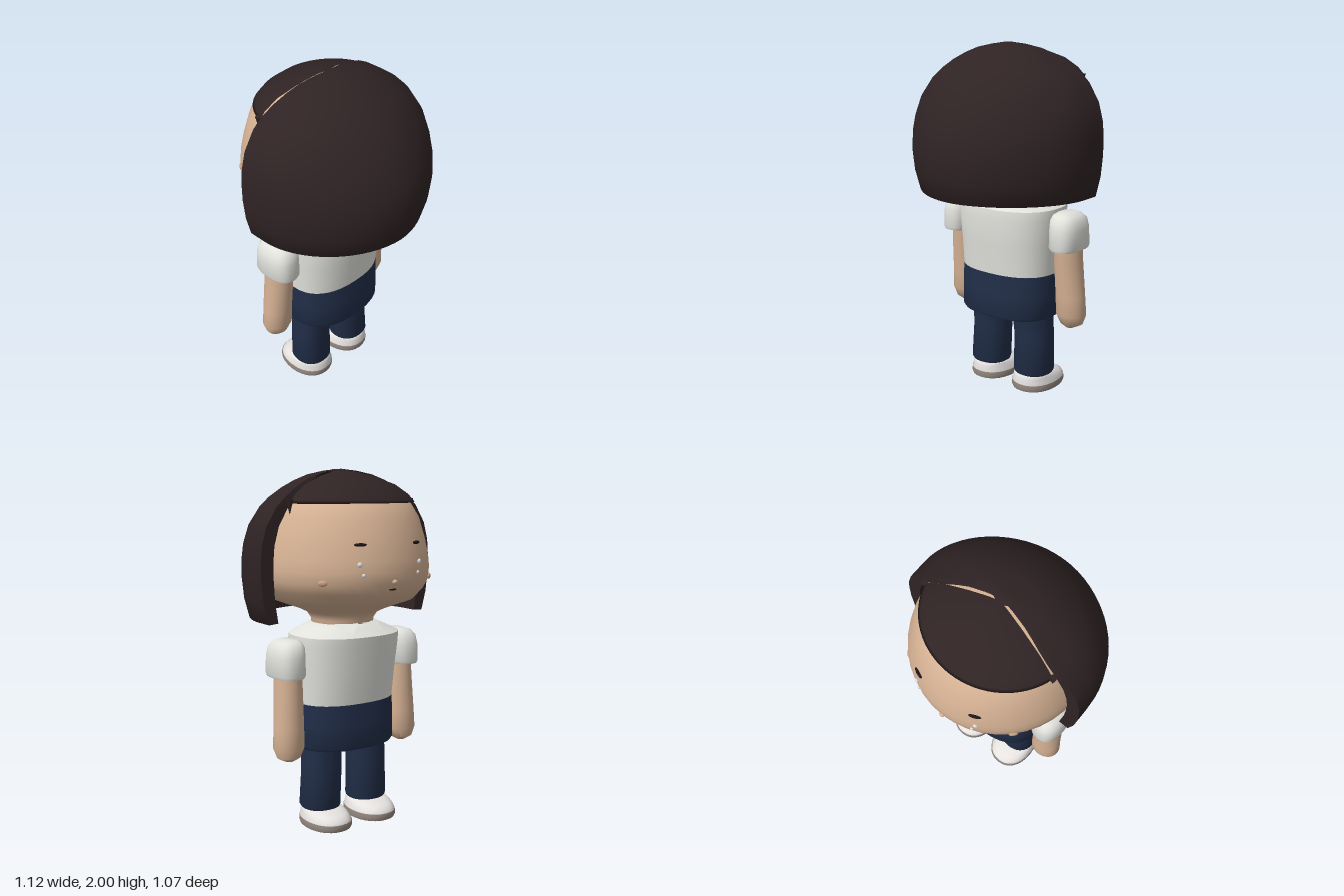
import * as THREE from 'three';
import { toCreasedNormals } from 'three/addons/utils/BufferGeometryUtils.js';

const material = (name, color, side = THREE.FrontSide) => {
  const m = new THREE.MeshStandardMaterial({ color, side });
  m.name = name;
  return m;
};

// Skins a stack of closed loops of [x, y, z] points, listed bottom to top
function skinLoops(loops, crease = 0.7) {
  const n = loops[0].length;
  const index = [];
  for (let i = 0; i < loops.length - 1; i++) {
    for (let j = 0; j < n; j++) {
      const a = i * n + j, b = i * n + (j + 1) % n;
      index.push(a, a + n, b, b, a + n, b + n);
    }
  }
  const geo = new THREE.BufferGeometry();
  geo.setAttribute('position', new THREE.Float32BufferAttribute(loops.flat(2), 3));
  geo.setIndex(index);
  return toCreasedNormals(geo, crease);
}

// Capped loft from rows of [y, xInner, xOuter, zBack, zFace]; side mirrors it in x
function loft(rows, { side = 1, power = 2.2, segments = 28 } = {}) {
  const curve = (v) => Math.sign(v) * Math.abs(v) ** (2 / power);
  const ring = ([y, x0, x1, z0, z1], scale = 1) =>
    Array.from({ length: segments }, (_, j) => {
      const t = (j / segments) * Math.PI * 2;
      return [
        side * (x0 + x1) / 2 + scale * (x1 - x0) / 2 * curve(Math.cos(t)),
        y,
        (z0 + z1) / 2 + scale * (z0 - z1) / 2 * curve(Math.sin(t)),
      ];
    });
  return skinLoops([ring(rows[0], 0), ...rows.map((r) => ring(r)), ring(rows.at(-1), 0)]);
}

// Bob of hair: a thick shell open towards the face, rows of [y, halfWidth, back, thickness]
function hairShell(rows, steps = 32) {
  const loops = rows.map(([y, rx, zb, thick]) => {
    const edge = -Math.min(0.115, 0.03 + 0.2 * rx);
    const arc = (inset) => {
      const w = Math.max(rx - inset, 0), d = Math.max(zb - inset, 0);
      const pts = [[w, y, edge]];
      for (let i = 0; i <= steps; i++) {
        const t = (i / steps) * Math.PI, c = Math.cos(t);
        pts.push([w * Math.sign(c) * Math.abs(c) ** 1.08, y, d * Math.abs(Math.sin(t)) ** 1.08]);
      }
      pts.push([-w, y, edge]);
      return pts;
    };
    return [...arc(0), ...arc(thick).reverse()];
  });
  return skinLoops(loops);
}

export function createModel() {
  const model = new THREE.Group();
  const skin = material('skin', 0xd6b294);
  const blush = material('blush', 0xc89f82);
  const hair = material('dark hair', 0x2f2324, THREE.DoubleSide);
  const ink = material('face lines', 0x1c1517);
  const shirt = material('shirt white', 0xe2e2dd, THREE.DoubleSide);
  const navy = material('navy cloth', 0x212e48);
  const shoeWhite = material('shoe white', 0xe6e3e1);
  const soleGrey = material('sole grey', 0x978b83);
  const shine = material('shine', 0xd9dde0);

  const add = (name, geo, mat) => {
    const mesh = new THREE.Mesh(geo, mat);
    mesh.name = name;
    model.add(mesh);
    return mesh;
  };
  const profile = (pts) => pts.map(([r, y]) => new THREE.Vector2(r, y));
  const headZ = -0.04;

  // Head and neck in one turned shape
  const head = add('head', new THREE.LatheGeometry(profile([
    [0.17, 1.08], [0.178, 1.18], [0.2, 1.215], [0.25, 1.24], [0.4, 1.295], [0.455, 1.355],
    [0.482, 1.41], [0.486, 1.47], [0.48, 1.53], [0.461, 1.62], [0.425, 1.74], [0.37, 1.83],
    [0.29, 1.885], [0.15, 1.94], [0, 1.96],
  ]), 40), skin);
  head.position.z = headZ;

  // Hair
  add('hairBack', hairShell([
    [1.185, 0.515, 0.485, 0], [1.19, 0.52, 0.49, 0.06], [1.3, 0.548, 0.52, 0.07],
    [1.42, 0.56, 0.533, 0.075], [1.52, 0.56, 0.52, 0.075], [1.6, 0.553, 0.492, 0.075],
    [1.7, 0.525, 0.447, 0.075], [1.8, 0.462, 0.375, 0.07], [1.85, 0.41, 0.325, 0.065],
    [1.9, 0.338, 0.262, 0.06], [1.94, 0.262, 0.2, 0.04], [1.97, 0.185, 0.135, 0.02],
    [1.99, 0.09, 0.065, 0.005], [2, 0, 0, 0],
  ]), hair);
  const fringe = add('fringe', new THREE.LatheGeometry(profile([
    [0.34, 1.815], [0.384, 1.82], [0.372, 1.835], [0.35, 1.863], [0.28, 1.915],
    [0.16, 1.962], [0.06, 1.988], [0, 1.992],
  ]), 32, Math.PI * 7 / 12, Math.PI * 5 / 6), hair);
  fringe.position.z = headZ;
  fringe.scale.x = 1.07;
  const crown = add('crownWhorl', new THREE.SphereGeometry(1, 16, 8), hair);
  crown.scale.set(0.065, 0.012, 0.045);
  crown.position.set(0, 1.988, -0.005);

  // Small rounded features set around the face
  const feature = (name, mat, angle, y, r, sx, sy, sz) => {
    const m = add(name, new THREE.SphereGeometry(1, 12, 8), mat);
    m.scale.set(sx, sy, sz);
    m.position.set(r * Math.sin(angle), y, headZ - r * Math.cos(angle));
    m.rotation.y = -angle;
  };
  feature('nose', skin, 0, 1.42, 0.483, 0.016, 0.013, 0.012);
  feature('mouth', ink, 0, 1.38, 0.467, 0.025, 0.005, 0.006);

  for (const s of [1, -1]) {
    const label = s > 0 ? 'left' : 'right';
    feature(label + 'Eye', ink, s * 0.4, 1.615, 0.465, 0.034, 0.009, 0.01);
    feature(label + 'UpperShine', shine, s * 0.41, 1.515, 0.483, 0.014, 0.014, 0.009);
    feature(label + 'LowerShine', shine, s * 0.37, 1.46, 0.486, 0.01, 0.01, 0.008);
    feature(label + 'Cheek', blush, s * 0.807, 1.42, 0.485, 0.026, 0.016, 0.01);

    // Loose lock at the corner of the fringe
    const lock = add(label + 'Lock', new THREE.ConeGeometry(0.02, 0.08, 6), hair);
    lock.rotation.x = Math.PI;
    lock.position.set(s * 0.398, 1.8, -0.14);

    // Arm and puffed sleeve
    add(label + 'Arm', loft([
      [0.412, 0.365, 0.415, -0.06, -0.12], [0.435, 0.325, 0.46, -0.035, -0.155],
      [0.49, 0.3, 0.48, -0.013, -0.17], [0.6, 0.3, 0.473, -0.008, -0.166],
      [0.8, 0.3, 0.46, 0.012, -0.158], [0.98, 0.305, 0.452, 0.02, -0.15],
    ], { side: s, power: 2 }), skin);
    add(label + 'Sleeve', loft([
      [0.885, 0.31, 0.47, 0.065, -0.19], [0.9, 0.3, 0.477, 0.07, -0.195],
      [1, 0.3, 0.475, 0.066, -0.19], [1.05, 0.3, 0.465, 0.055, -0.18],
      [1.077, 0.31, 0.443, 0.03, -0.155], [1.09, 0.33, 0.41, 0, -0.125],
    ], { side: s, power: 2.6 }), shirt);

    // Trouser leg
    add(label + 'Leg', loft([
      [0.095, 0.05, 0.268, 0.058, -0.16], [0.11, 0.046, 0.276, 0.066, -0.166],
      [0.33, 0.04, 0.27, 0.05, -0.166], [0.42, 0.038, 0.267, 0.066, -0.166],
      [0.52, 0.038, 0.265, 0.07, -0.165],
    ], { side: s }), navy);

    // Shoe
    add(label + 'Sole', loft([
      [0, 0.025, 0.285, 0.07, -0.267], [0.015, 0.02, 0.29, 0.075, -0.274],
      [0.04, 0.022, 0.288, 0.074, -0.272],
    ], { side: s }), soleGrey);
    add(label + 'ShoeUpper', loft([
      [0.038, 0.025, 0.286, 0.072, -0.268], [0.058, 0.03, 0.282, 0.07, -0.26],
      [0.075, 0.037, 0.276, 0.067, -0.232], [0.092, 0.045, 0.27, 0.062, -0.185],
      [0.1, 0.06, 0.26, 0.055, -0.155],
    ], { side: s }), shoeWhite);

    // Collar flap lying on the chest
    const flap = new THREE.BufferGeometry();
    flap.setAttribute('position', new THREE.Float32BufferAttribute([
      s * 0.01, 1.168, -0.215, s * 0.15, 1.165, -0.17, s * 0.1, 1.122, -0.29,
    ], 3));
    flap.computeVertexNormals();
    add(label + 'CollarFlap', flap, shirt);
  }

  // Torso
  add('shirtBody', loft([
    [0.72, -0.297, 0.297, 0.172, -0.26], [0.9, -0.305, 0.305, 0.186, -0.283],
    [1.05, -0.318, 0.318, 0.199, -0.302], [1.1, -0.315, 0.315, 0.193, -0.308],
    [1.145, -0.22, 0.22, 0.14, -0.24], [1.16, -0.185, 0.185, 0.115, -0.22],
  ], { power: 2.4, segments: 40 }), shirt);
  add('hips', loft([
    [0.46, -0.29, 0.29, 0.175, -0.262], [0.475, -0.3, 0.3, 0.182, -0.27],
    [0.6, -0.302, 0.302, 0.178, -0.266], [0.72, -0.298, 0.298, 0.173, -0.261],
  ], { power: 2.4, segments: 40 }), navy);

  return model;
}
